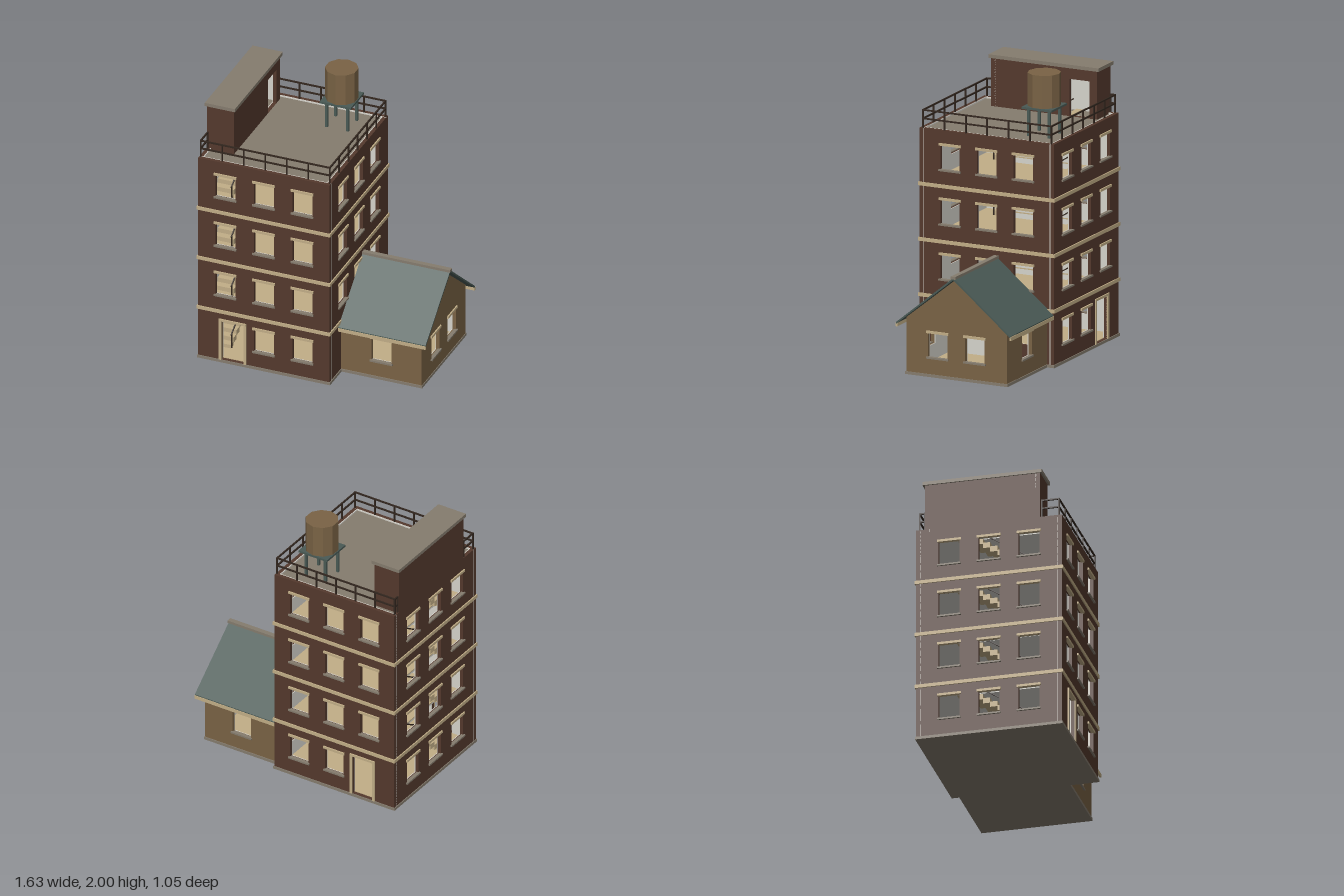
import * as THREE from 'three';

const mat = (name, color, double) => {
  const m = new THREE.MeshStandardMaterial({ color });
  m.name = name;
  if (double) m.side = THREE.DoubleSide;
  return m;
};

export function createModel() {
  const M = {
    brick: mat('brown brick', 0x54392d),
    ochre: mat('ochre boards', 0x7a6345),
    trim: mat('sand trim', 0xc2ae87),
    slate: mat('green slate', 0x4a5a55),
    concrete: mat('grey concrete', 0x857c6e),
    plaster: mat('pale plaster', 0xd6d4cc),
    iron: mat('dark iron', 0x33271f),
  };
  const model = new THREE.Group();
  const mesh = (name, geo, m, parent = model) => {
    const o = new THREE.Mesh(geo, m);
    o.name = name;
    parent.add(o);
    return o;
  };
  // box given by its minimum and maximum corners
  const box = (name, m, a, b, parent) => {
    const o = mesh(name, new THREE.BoxGeometry(b[0] - a[0], b[1] - a[1], b[2] - a[2]), m, parent);
    o.position.set((a[0] + b[0]) / 2, (a[1] + b[1]) / 2, (a[2] + b[2]) / 2);
    return o;
  };
  const rect = (x0, y0, x1, y1) => [[x0, y0], [x1, y0], [x1, y1], [x0, y1]];
  const vecs = (pts) => pts.map((p) => new THREE.Vector2(p[0], p[1]));
  const plate = (pts, holes, depth) => {
    const s = new THREE.Shape(vecs(pts));
    holes.forEach((h) => s.holes.push(new THREE.Path(vecs(h))));
    return new THREE.ExtrudeGeometry(s, { depth, bevelEnabled: false });
  };
  // horizontal plate with holes; corners are (x, -z)
  const slab = (name, m, pts, holes, y, depth) => {
    const o = mesh(name, plate(pts, holes, depth), m);
    o.rotation.x = -Math.PI / 2;
    o.position.y = y;
  };

  // Wall whose outer face looks along local +z, with a plaster lining and trimmed openings
  const T = 0.026;
  const facade = (name, m, pts, openings, x, z, turn) => {
    const g = new THREE.Group();
    g.name = name;
    g.position.set(x, 0, z);
    g.rotation.y = turn;
    model.add(g);
    const holes = openings.map((o) => rect(o.u - o.w / 2, o.y, o.u + o.w / 2, o.y + o.h));
    mesh('wall', plate(pts, holes, T), m, g).position.z = -T;
    mesh('lining', plate(pts, holes, 0.006), M.plaster, g).position.z = -T - 0.006;
    for (const { u, y, w, h, kind } of openings) {
      const a = u - w / 2, b = u + w / 2, t = y + h;
      if (kind === 'window') {
        box('lintel', M.trim, [a - 0.01, t - 0.005, -0.015], [b + 0.01, t + 0.012, 0.01], g);
        box('sill', M.concrete, [a - 0.01, y - 0.006, -0.015], [b + 0.01, y + 0.006, 0.012], g);
      } else if (kind === 'door') {
        box('doorLintel', M.trim, [a - 0.018, t - 0.003, -0.02], [b + 0.018, t + 0.013, 0.01], g);
        box('doorJamb', M.trim, [a - 0.018, 0.02, -0.02], [a, t, 0.008], g);
        box('doorJamb', M.trim, [b, 0.02, -0.02], [b + 0.018, t, 0.008], g);
      }
    }
  };

  // Tower dimensions
  const X0 = -0.805, X1 = 0.165, CX = -0.32, HZ = 0.513, TOP = 1.57;
  const HX = (X1 - X0) / 2;
  const level = [0.02, 0.4, 0.79, 1.18, TOP];
  const sills = [0.135, 0.52, 0.907, 1.29];
  const win = (u, y, kind = 'window') => ({ u, y, w: 0.148, h: 0.178, kind });
  const grid = (step, firstFloor = 0) => {
    const list = [];
    for (let f = firstFloor; f < 4; f++) for (const k of [-1, 0, 1]) list.push(win(k * step, sills[f]));
    return list;
  };
  const withDoor = (side) => [
    ...grid(0.284).filter((o) => !(o.y === sills[0] && o.u * side > 0.1)),
    { u: side * 0.23, y: 0.021, w: 0.165, h: 0.306, kind: 'door' },
  ];
  const wide = rect(-HX, 0.02, HX, TOP), deep = rect(-HZ + T, 0.02, HZ - T, TOP);
  facade('frontWall', M.brick, wide, withDoor(-1), CX, HZ, 0);
  facade('backWall', M.brick, wide, withDoor(1), CX, -HZ, Math.PI);
  facade('leftSideWall', M.brick, deep, grid(0.28), X0, 0, -Math.PI / 2);
  facade('rightSideWall', M.brick, deep, [...grid(0.28, 1), win(0.28, sills[0], 'plain')], X1, 0, Math.PI / 2);

  // Plinths and ground floors
  box('towerPlinth', M.concrete, [X0 - 0.006, 0, -HZ - 0.006], [X1 + 0.006, 0.02, HZ + 0.006]);
  box('annexPlinth', M.concrete, [X1 + 0.006, 0, -0.466], [0.765, 0.02, 0.316]);
  box('groundFloor', M.trim, [X0 + T, 0.02, -HZ + T], [X1 - T, 0.025, HZ - T]);
  box('annexFloor', M.trim, [X1, 0.02, -0.44], [0.74, 0.025, 0.29]);

  // Floors with stair opening, outer bands and roof deck
  const inner = rect(X0 + T, -HZ + T, X1 - T, HZ - T);
  const well = rect(-0.77, -0.36, -0.62, 0.26);
  const bandOuter = rect(X0 - 0.008, -HZ - 0.008, X1 + 0.008, HZ + 0.008);
  for (let f = 1; f < 4; f++) {
    slab('ceiling', M.plaster, inner, [well], level[f] - 0.02, 0.012);
    slab('floor', M.trim, inner, [well], level[f] - 0.008, 0.008);
    slab('floorBand', M.trim, bandOuter, [rect(X0 + 0.005, -HZ + 0.005, X1 - 0.005, HZ - 0.005)], level[f] - 0.015, 0.025);
  }
  slab('topCeiling', M.plaster, inner, [well], 1.535, 0.01);
  slab('roofDeck', M.concrete, inner, [well], 1.545, 0.015);

  // Straight stair flights with a handrail
  const STEPS = 12, run = 0.62 / STEPS;
  for (let f = 0; f < 4; f++) {
    const rise = (level[f + 1] - level[f]) / STEPS;
    for (let i = 0; i < STEPS; i++) {
      const z = 0.36 - i * run, y = level[f] + (i + 1) * rise;
      box('step', M.trim, [-0.77, y - rise - 0.008, z - run], [-0.628, y, z]);
    }
    const dy = level[f + 1] - level[f];
    const rail = mesh('stairRail', new THREE.BoxGeometry(0.008, 0.008, Math.hypot(dy, 0.62)), M.iron);
    rail.position.set(-0.626, level[f] + dy / 2 + 0.11, 0.05);
    rail.rotation.x = Math.atan2(dy, 0.62);
    box('stairNewel', M.iron, [-0.63, level[f], 0.345], [-0.622, level[f] + 0.12, 0.353]);
  }

  // Stair house on the roof
  const houseSide = rect(-0.405 + T, 1.55, 0.405 - T, 1.905);
  const houseEnd = rect(-0.1, 1.55, 0.1, 1.905);
  facade('stairHouseRight', M.brick, houseSide, [{ u: 0.27, y: 1.562, w: 0.155, h: 0.26 }], -0.605, -0.045, Math.PI / 2);
  facade('stairHouseLeft', M.brick, rect(-0.405 + T, TOP, 0.405 - T, 1.905), [], X0, -0.045, -Math.PI / 2);
  facade('stairHouseFront', M.brick, houseEnd, [], -0.705, 0.36, 0);
  facade('stairHouseBack', M.brick, houseEnd, [], -0.705, -0.45, Math.PI);
  box('stairHouseRoof', M.concrete, [-0.815, 1.9, -0.467], [-0.592, 1.925, 0.373]);

  // Roof railing
  const RX0 = X0 + 0.01, RX1 = X1 - 0.008, RZ = 0.49, r = 0.005;
  const railing = (x0, z0, x1, z1, bays) => {
    for (const y of [1.635, 1.695])
      box('rail', M.iron, [Math.min(x0, x1) - r, y - r, Math.min(z0, z1) - r], [Math.max(x0, x1) + r, y + r, Math.max(z0, z1) + r]);
    for (let i = 0; i <= bays; i++) {
      const x = x0 + (x1 - x0) * i / bays, z = z0 + (z1 - z0) * i / bays;
      box('railPost', M.iron, [x - r, 1.55, z - r], [x + r, 1.698, z + r]);
    }
  };
  railing(RX0, RZ, RX1, RZ, 6);
  railing(RX0, -RZ, RX1, -RZ, 6);
  railing(RX1, -RZ, RX1, RZ, 6);
  railing(RX0, 0.37, RX0, RZ, 1);
  railing(RX0, -RZ, RX0, -0.455, 1);

  // Water tank on a legged platform
  const tx = -0.09, tz = -0.31;
  const tank = mesh('waterTank', new THREE.CylinderGeometry(0.115, 0.115, 0.232, 10).toNonIndexed(), M.ochre);
  tank.geometry.computeVertexNormals();
  tank.position.set(tx, 1.884, tz);
  box('tankPlatform', M.slate, [tx - 0.115, 1.753, tz - 0.115], [tx + 0.115, 1.768, tz + 0.115]);
  for (const sx of [-1, 1]) for (const sz of [-1, 1]) {
    const x = tx + sx * 0.078, z = tz + sz * 0.078;
    box('tankLeg', M.slate, [x - 0.009, 1.555, z - 0.009], [x + 0.009, 1.755, z + 0.009]);
  }

  // Annex walls
  const AZ = -0.075, AX = (X1 + 0.76) / 2, AH = (0.76 - X1) / 2;
  const eaveWall = rect(-AH, 0.02, AH, 0.405);
  facade('annexFront', M.ochre, eaveWall, [win(0, 0.135)], AX, 0.31, 0);
  facade('annexBack', M.ochre, eaveWall, [win(0, 0.135)], AX, -0.46, Math.PI);
  const gable = [[-0.384, 0.02], [0.384, 0.02], [0.384, 0.4], [0, 0.712], [-0.384, 0.4]];
  facade('annexGable', M.ochre, gable, [win(-0.145, 0.135), win(0.14, 0.135)], 0.761, AZ, Math.PI / 2);
  box('annexInnerDoor', M.plaster, [X1, 0.025, -0.02], [X1 + 0.006, 0.335, 0.17]);

  // Annex pitched roof, eave boards and ridge cap
  const chevron = [[-0.436, 0.358], [0, 0.716], [0.436, 0.358], [0.436, 0.372], [0, 0.732], [-0.436, 0.372]];
  const roof = mesh('annexRoof', plate(chevron, [], 0.81 - X1), M.slate);
  roof.rotation.y = Math.PI / 2;
  roof.position.set(X1, 0, AZ);
  for (const s of [-1, 1]) {
    const z = AZ + s * 0.434;
    box('eaveBoard', M.trim, [X1, 0.34, z - 0.006], [0.81, 0.366, z + 0.006]);
  }
  box('ridgeCap', M.concrete, [X1, 0.722, AZ - 0.018], [0.815, 0.741, AZ + 0.018]);

  return model;
}
